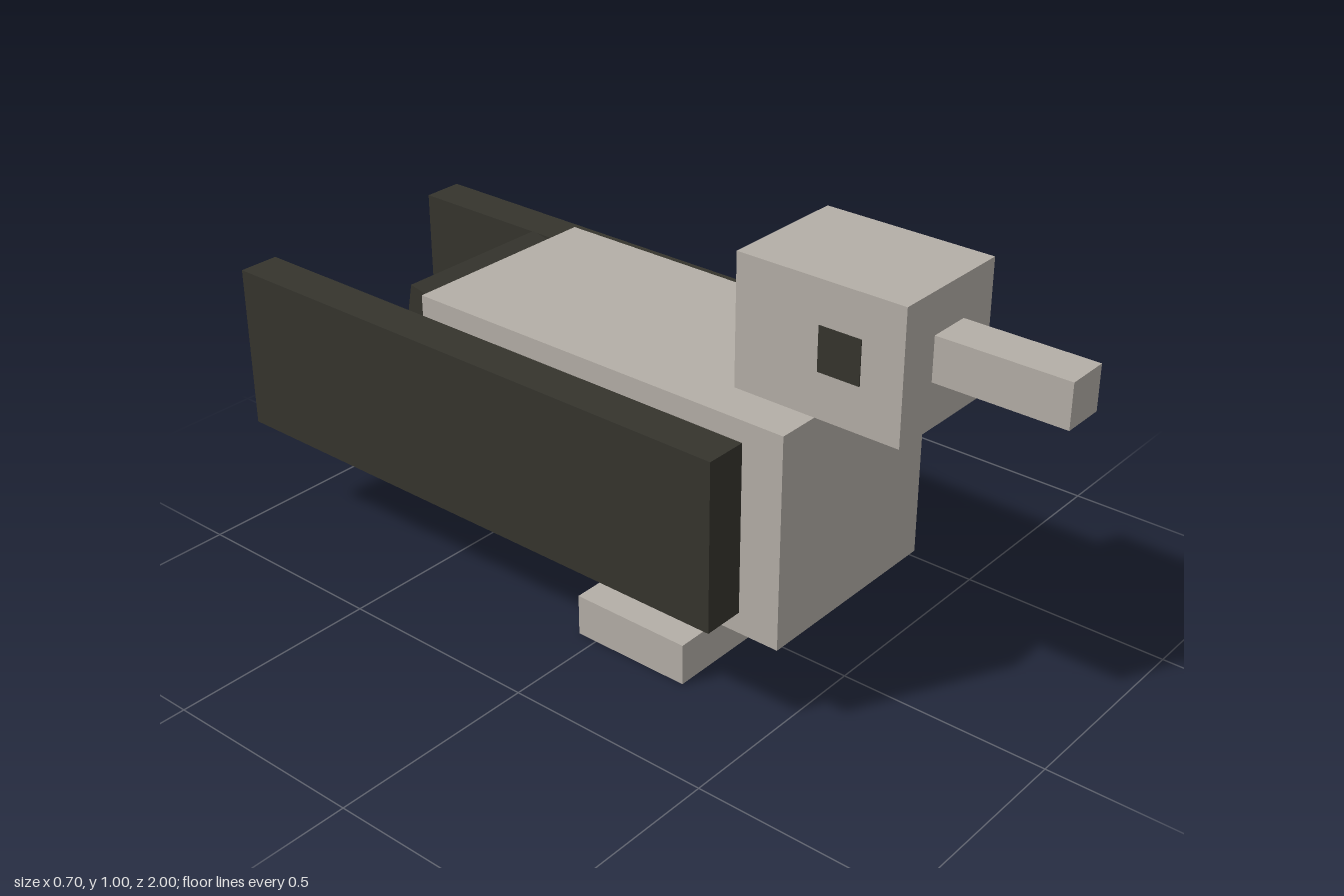
import * as THREE from 'three';

const pale = new THREE.MeshStandardMaterial({ color: 0xb4aea7 });
pale.name = 'paleGrey';
const dark = new THREE.MeshStandardMaterial({ color: 0x35342d });
dark.name = 'darkOlive';

// Box of a given size and centre
function box(name, material, [w, h, d], [x, y, z]) {
  const mesh = new THREE.Mesh(new THREE.BoxGeometry(w, h, d), material);
  mesh.name = name;
  mesh.position.set(x, y, z);
  return mesh;
}

export function createModel() {
  const bird = new THREE.Group();
  bird.name = 'bird';

  // Body, head and beak
  bird.add(
    box('body', pale, [0.5, 0.5, 1], [0, 0.45, 0]),
    box('head', pale, [0.3, 0.3, 0.4], [0, 0.85, 0.5]),
    box('beak', pale, [0.1, 0.1, 0.3], [0, 0.855, 0.85]),
    box('feet', pale, [0.5, 0.1, 0.3], [0, 0.05, 0.1]),
  );

  // Tail, tipped up at the back
  const tail = box('tail', dark, [0.4, 0.1, 0.2], [0, 0.613, -0.5]);
  tail.rotation.x = 0.2;
  bird.add(tail);

  // Mirrored parts
  for (const [side, s] of [['left', 1], ['right', -1]]) {
    bird.add(
      box(side + 'Wing', dark, [0.1, 0.4, 1.4], [s * 0.3, 0.45, -0.3]),
      box(side + 'Leg', pale, [0.1, 0.1, 0.1], [s * 0.1, 0.15, 0]),
      box(side + 'Eye', dark, [0.004, 0.1, 0.1], [s * 0.15, 0.853, 0.553]),
    );
  }
  return bird;
}
